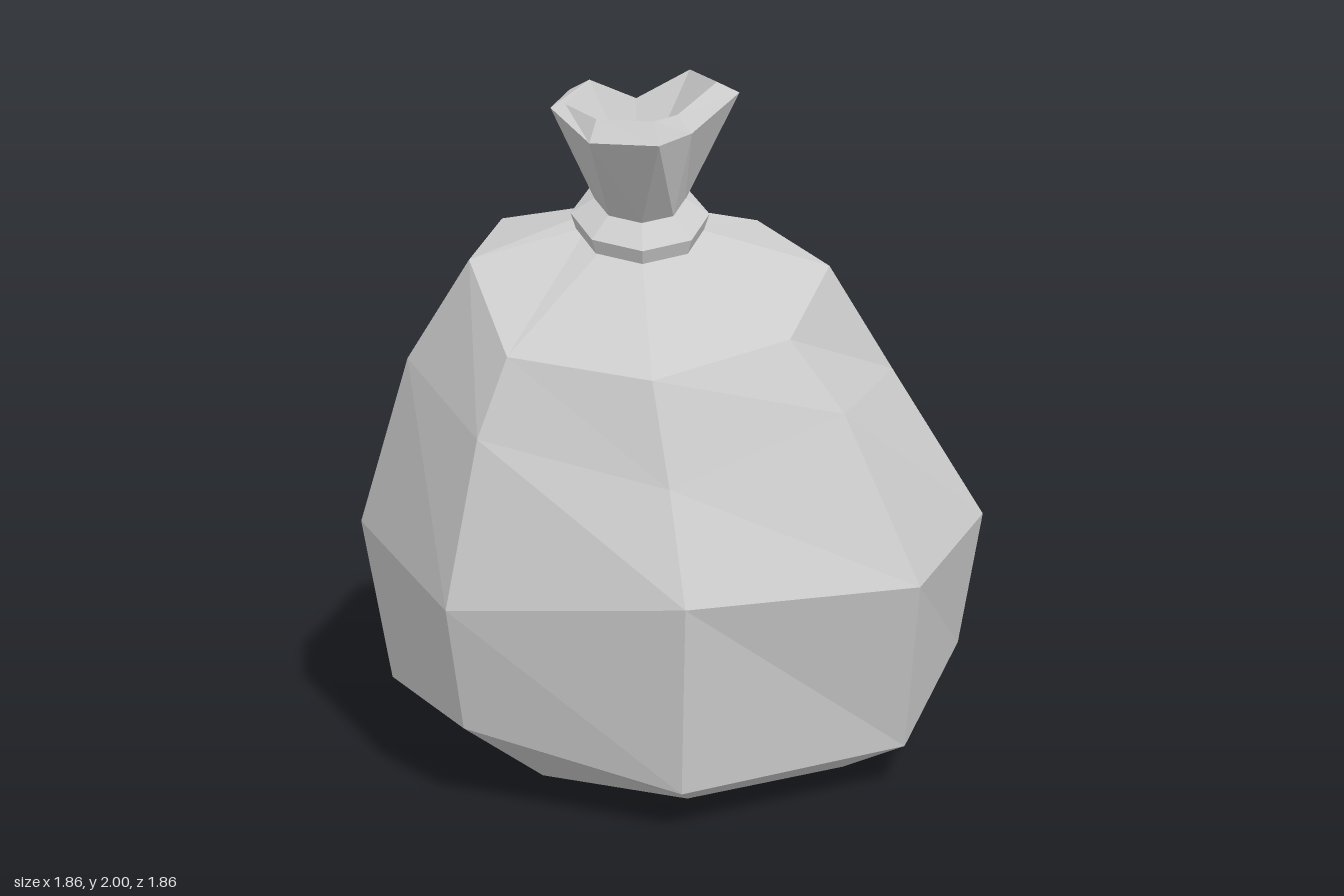
import * as THREE from 'three';

const SIDES = 8;
const KNOT_X = -0.14; // the tied neck sits off centre

// Skin a stack of eight-point rings (running +x, +z, -x, -z) into flat faces.
function loft(name, rings, material) {
  const pos = [];
  const tri = (...corners) => corners.forEach((p) => pos.push(...p));
  for (let i = 0; i < rings.length - 1; i++) {
    for (let k = 0; k < SIDES; k++) {
      const n = (k + 1) % SIDES;
      const [lower, upper] = [rings[i], rings[i + 1]];
      if (lower[k] !== lower[n]) tri(lower[k], upper[n], lower[n]);
      if (upper[k] !== upper[n]) tri(lower[k], upper[k], upper[n]);
    }
  }
  const geometry = new THREE.BufferGeometry();
  geometry.setAttribute('position', new THREE.Float32BufferAttribute(pos, 3));
  geometry.computeVertexNormals();
  const mesh = new THREE.Mesh(geometry, material);
  mesh.name = name;
  return mesh;
}

// A ring collapsed to one point, closing the end of a loft.
const point = (x, y, z) => Array(SIDES).fill([x, y, z]);

// Regular ring around the neck, tilted down to the front and right.
function neckRing(radius, y) {
  return Array.from({ length: SIDES }, (_, k) => {
    const a = (k / SIDES) * Math.PI * 2;
    const x = Math.cos(a) * radius;
    const z = Math.sin(a) * radius;
    return [KNOT_X + x, y + 0.25 * x - 0.27 * z, z];
  });
}

export function createModel() {
  const group = new THREE.Group();
  group.name = 'tiedSack';
  const material = new THREE.MeshStandardMaterial({ color: 0xcccccc, flatShading: true });

  // Slumped body, from the flat base up to the neck
  const base = [
    [0.61, 0, 0.03], [0.43, 0, 0.44], [0.08, 0, 0.6], [-0.41, 0, 0.43],
    [-0.56, 0, 0], [-0.4, 0, -0.4], [0, 0, -0.53], [0.42, 0, -0.37],
  ];
  const lowerEdge = [
    [0.89, 0.15, 0.03], [0.66, 0.235, 0.58], [0.075, 0.125, 0.83], [-0.61, 0.115, 0.59],
    [-0.87, 0.23, 0], [-0.6, 0.17, -0.6], [0, 0.235, -0.81], [0.62, 0.145, -0.53],
  ];
  const belly = [
    [0.93, 0.66, 0], [0.66, 0.66, 0.66], [0, 0.64, 0.93], [-0.64, 0.66, 0.63],
    [-0.93, 0.59, 0], [-0.655, 0.66, -0.66], [0, 0.66, -0.93], [0.66, 0.66, -0.66],
  ];
  const shoulder = [
    [0.655, 1.28, -0.05], [0.5, 1.1, 0.43], [-0.035, 1.1, 0.68], [-0.55, 0.95, 0.49],
    [-0.79, 1.05, -0.01], [-0.59, 1.17, -0.51], [-0.085, 1.31, -0.74], [0.43, 1.22, -0.56],
  ];
  const crown = [
    [0.43, 1.5, -0.045], [0.295, 1.43, 0.35], [-0.095, 1.3, 0.53], [-0.505, 1.23, 0.385],
    [-0.69, 1.27, 0.01], [-0.53, 1.48, -0.305], [-0.15, 1.52, -0.56], [0.245, 1.54, -0.42],
  ];
  group.add(loft('body', [
    point(0, 0, 0), base, lowerEdge, belly, shoulder, crown, neckRing(0.15, 1.56),
  ], material));

  // Cord tied around the neck
  group.add(loft('tie', [
    neckRing(0.13, 1.55), neckRing(0.185, 1.555), neckRing(0.2, 1.6), neckRing(0.13, 1.645),
  ], material));

  // Flared mouth with a thick, uneven lip and a funnel inside
  const outerLip = [
    [0.1, 1.98, 0], [0.04, 1.95, 0.22], [-0.14, 1.85, 0.2], [-0.33, 1.84, 0.25],
    [-0.42, 1.84, 0.07], [-0.34, 1.91, -0.16], [-0.18, 1.94, -0.24], [-0.01, 1.89, -0.14],
  ];
  const innerLip = [
    [0.04, 2, 0.03], [0, 1.98, 0.17], [-0.15, 1.9, 0.155], [-0.3, 1.9, 0.2],
    [-0.37, 1.9, 0.05], [-0.31, 1.92, -0.13], [-0.18, 1.975, -0.16], [-0.08, 1.92, -0.07],
  ];
  group.add(loft('mouth', [
    neckRing(0.13, 1.64), outerLip, innerLip, point(-0.15, 1.68, 0),
  ], material));

  return group;
}
